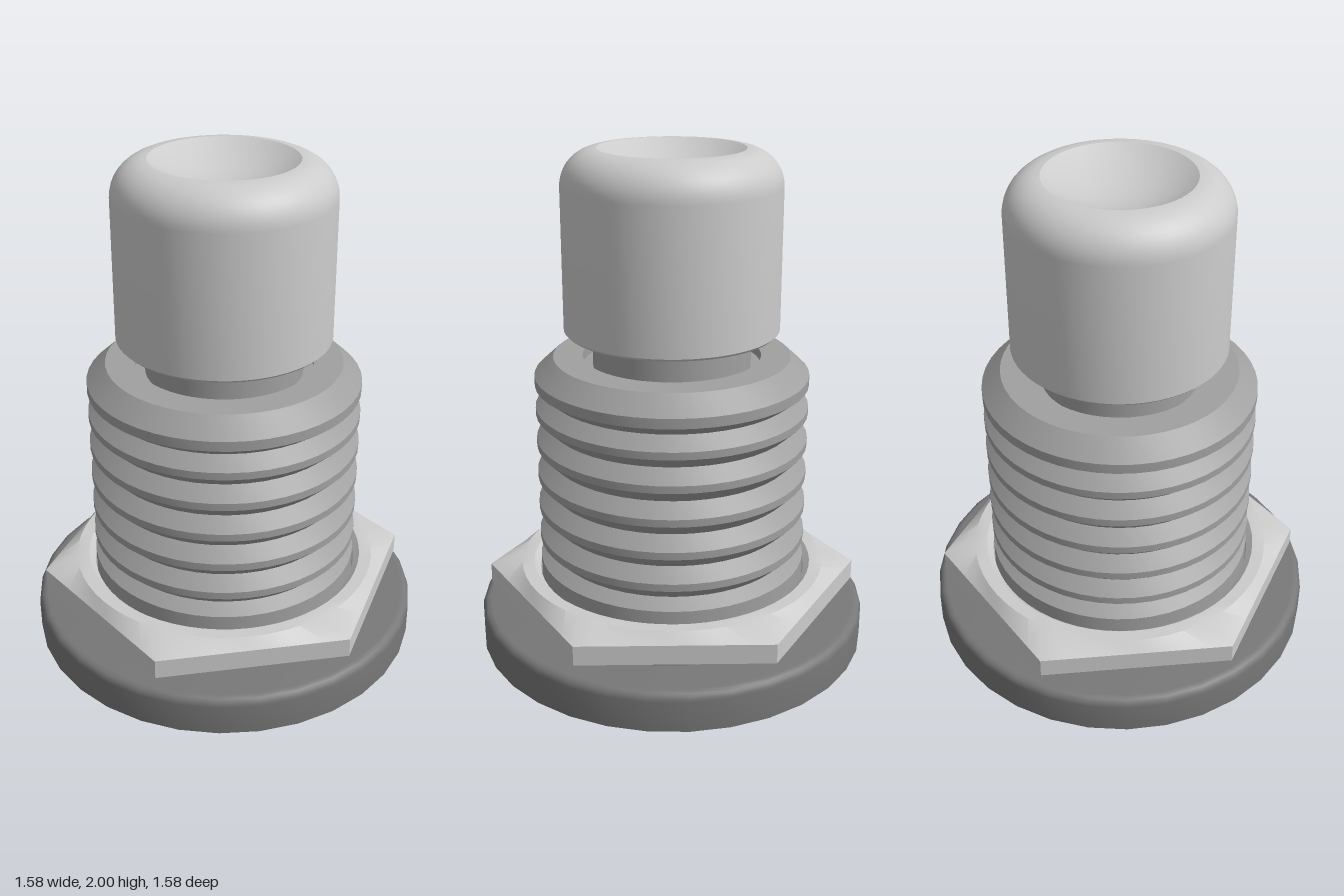
import * as THREE from 'three';
import { toCreasedNormals } from 'three/addons/utils/BufferGeometryUtils.js';

const light = new THREE.MeshStandardMaterial({ color: 0xcccccc });
const mid = new THREE.MeshStandardMaterial({ color: 0xa0a0a0 });
const dark = new THREE.MeshStandardMaterial({ color: 0x777777 });

// Turned part from [radius, height] pairs, listed bottom to top along the outside
function turned(name, profile, segments, material, shape) {
  const geometry = new THREE.LatheGeometry(profile.map(([r, y]) => new THREE.Vector2(r, y)), segments);
  if (shape) shape(geometry.attributes.position);
  const mesh = new THREE.Mesh(toCreasedNormals(geometry, 0.5), material);
  mesh.name = name;
  return mesh;
}

// Points on a circular arc from angle a0 to a1
function arc(cx, cy, radius, a0, a1, steps) {
  return Array.from({ length: steps + 1 }, (_, i) => {
    const a = a0 + (a1 - a0) * i / steps;
    return [Math.max(0, cx + radius * Math.cos(a)), cy + radius * Math.sin(a)];
  });
}

// Push the outer rings of the nut out to a hexagon with corners on the x axis
function makeHexagonal(position) {
  const apothem = 0.654, sector = Math.PI / 3;
  for (let i = 0; i < position.count; i++) {
    const x = position.getX(i), z = position.getZ(i);
    if (Math.hypot(x, z) < 0.65) continue;
    const angle = Math.atan2(z, x) + 2 * Math.PI + 1e-6;
    const r = apothem / Math.cos(angle % sector - sector / 2);
    position.setX(i, r * Math.cos(angle));
    position.setZ(i, r * Math.sin(angle));
  }
}

export function createModel() {
  const model = new THREE.Group();
  model.name = 'pushButton';

  // Round base with a softened top edge
  model.add(turned('base', [
    [0, 0], [0.79, 0], ...arc(0.755, 0.125, 0.035, 0, Math.PI / 2, 5), [0, 0.16],
  ], 32, dark));

  // Hexagonal nut, bevelled to a circle above and below, with a chamfered bore
  model.add(turned('nut', [
    [0.545, 0.16], [0.6, 0.16], [0.7, 0.2], [0.7, 0.28], [0.62, 0.32],
    [0.57, 0.32], [0.545, 0.295], [0.545, 0.16],
  ], 60, light, makeHexagonal));

  // Threaded barrel: a crest between each pair of roots
  const crest = 0.54, root = 0.488;
  const barrel = [[0, 0.15], [crest, 0.15], [crest, 0.355]];
  const roots = [0.39, 0.52, 0.653, 0.787, 0.922, 1.05];
  roots.forEach((y, i) => {
    barrel.push([root, y]);
    if (i === roots.length - 1) return;
    const c = (y + roots[i + 1]) / 2;
    barrel.push([crest, c - 0.015], [crest, c + 0.015]);
  });
  barrel.push([crest, 1.09], [crest, 1.13], [0.465, 1.2], [0.35, 1.2], [0.35, 1.16], [0, 1.16]);
  model.add(turned('threadedBarrel', barrel, 48, mid));

  // Narrow stem between the barrel and the cap
  const stem = new THREE.Mesh(new THREE.CylinderGeometry(0.31, 0.31, 0.18, 48), mid);
  stem.name = 'stem';
  stem.position.y = 1.23;
  model.add(stem);

  // Cap with a rounded shoulder and a dished top
  const rim = 0.28, depth = 0.085;
  const dishRadius = (rim * rim + depth * depth) / (2 * depth);
  const edge = Math.asin(rim / dishRadius);
  model.add(turned('cap', [
    [0, 1.3], [0.41, 1.3], [0.42, 1.31],
    ...arc(0.28, 1.86, 0.14, 0, Math.PI / 2, 10),
    ...arc(0, 2 - depth + dishRadius, dishRadius, -Math.PI / 2 + edge, -Math.PI / 2, 8).slice(1),
  ], 64, light));

  return model;
}
